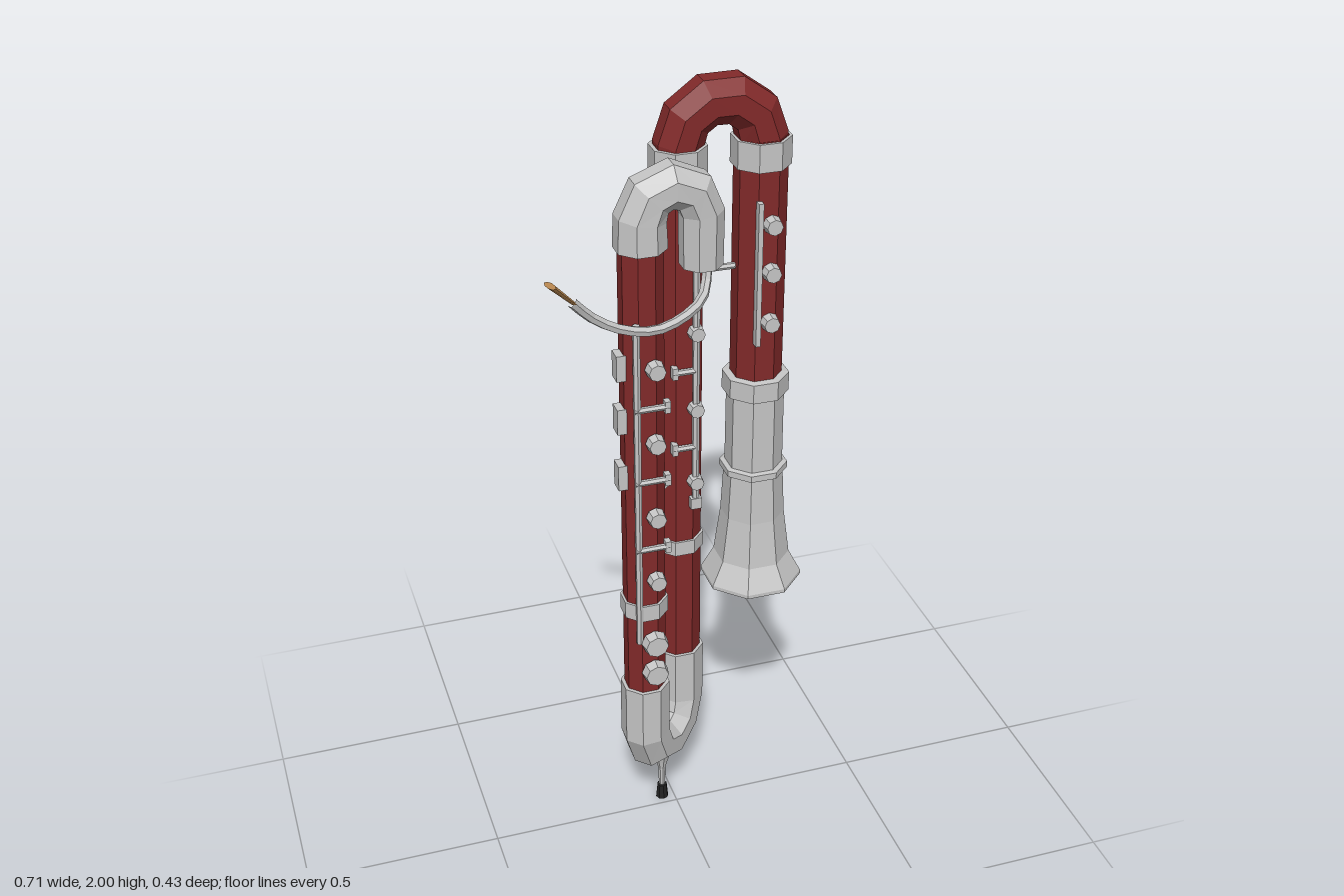
import * as THREE from 'three';

const flat = (color, name) => new THREE.MeshStandardMaterial({ color, name, flatShading: true });
const wood = flat(0x822a2a, 'red wood');
const silver = flat(0xc6c6c6, 'silver');
const cane = flat(0xb98750, 'cane');
const rubber = flat(0x222222, 'black rubber');

const V = (x, y, z) => new THREE.Vector3(x, y, z);
const K = 1 / Math.cos(Math.PI / 8); // flat half-width to corner radius

// Tube axes
const A = { x: -0.096, z: 0.033, r: 0.049 };
const B = { x: 0.034, z: -0.097, r: 0.054 };
const C = { x: 0.234, z: -0.097, r: 0.059 };

export function createModel() {
  const model = new THREE.Group();
  const add = (name, geometry, material, parent = model) => {
    const mesh = new THREE.Mesh(geometry, material);
    mesh.name = name;
    parent.add(mesh);
    return mesh;
  };

  // Upright octagonal tube with flats facing the axes
  const upright = (name, t, r, y0, y1, mat) => {
    const g = new THREE.CylinderGeometry(r * K, r * K, y1 - y0, 8).rotateY(Math.PI / 8);
    add(name, g, mat).position.set(t.x, (y0 + y1) / 2, t.z);
  };

  // Octagonal tube swept along a planar path, tapering from r0 to r1
  const sweep = (pts, side, r0, r1) => {
    const n = 8, pos = [], idx = [];
    pts.forEach((p, i) => {
      const T = pts[Math.min(i + 1, pts.length - 1)].clone().sub(pts[Math.max(i - 1, 0)]).normalize();
      const N = side.clone().cross(T).normalize();
      const r = THREE.MathUtils.lerp(r0, r1, i / (pts.length - 1)) * K;
      for (let j = 0; j < n; j++) {
        const a = ((j + 0.5) / n) * Math.PI * 2;
        const v = p.clone().addScaledVector(N, r * Math.cos(a)).addScaledVector(side, r * Math.sin(a));
        pos.push(v.x, v.y, v.z);
      }
    });
    const last = (pts.length - 1) * n;
    for (let i = 0; i < last; i += n) {
      for (let j = 0; j < n; j++) {
        const k = (j + 1) % n;
        idx.push(i + j, i + k, i + n + k, i + j, i + n + k, i + n + j);
      }
    }
    for (let j = 1; j < n - 1; j++) idx.push(0, j + 1, j, last, last + j, last + j + 1);
    const g = new THREE.BufferGeometry();
    g.setAttribute('position', new THREE.Float32BufferAttribute(pos, 3));
    g.setIndex(idx);
    g.computeVertexNormals();
    return g;
  };

  // U-bend between two uprights: straight legs plus a half circle (up = 1 or -1)
  const bend = (p, q, yc, up, segs, yP, yQ, r0, r1) => {
    const mid = V((p.x + q.x) / 2, yc, (p.z + q.z) / 2);
    const half = V((q.x - p.x) / 2, 0, (q.z - p.z) / 2);
    const R = half.length();
    const pts = [V(p.x, yP, p.z)];
    for (let i = 0; i <= segs; i++) {
      const a = (i / segs) * Math.PI;
      pts.push(mid.clone().addScaledVector(half, -Math.cos(a)).add(V(0, up * R * Math.sin(a), 0)));
    }
    pts.push(V(q.x, yQ, q.z));
    return sweep(pts, half.clone().normalize().cross(V(0, 1, 0)), r0, r1);
  };

  // Rod between two points
  const rod = (name, p, q, r, parent = model) => {
    const d = q.clone().sub(p);
    const m = add(name, new THREE.CylinderGeometry(r, r, d.length(), 6), silver, parent);
    m.position.copy(p).add(q).multiplyScalar(0.5);
    m.quaternion.setFromUnitVectors(V(0, 1, 0), d.normalize());
  };

  // Wooden tubes and their rings
  upright('wingTube', A, A.r, 0.44, 1.69, wood);
  upright('longTube', B, B.r, 0.44, 1.85, wood);
  upright('bellTube', C, C.r, 1.2, 1.85, wood);
  upright('wingRing', A, 0.055, 0.685, 0.73, silver);
  upright('longRing', B, 0.06, 0.775, 0.815, silver);
  upright('longTopRing', B, 0.063, 1.78, 1.848, silver);
  upright('bellTopRing', C, 0.066, 1.78, 1.848, silver);

  // Bends
  add('topBow', bend(B, C, 1.848, 1, 5, 1.8, 1.8, 0.054, 0.058), wood);
  add('bootBend', bend(A, B, 0.3, -1, 4, 0.46, 0.46, 0.058, 0.062), silver);
  add('crookBow', bend(A, { x: 0.047, z: 0.033 }, 1.74, 1, 4, 1.67, 1.61, 0.058, 0.047), silver);

  // Hollow flared bell
  const profile = [
    [0.05, 1.1], [0.055, 0.97], [0.082, 0.72], [0.11, 0.645], [0.12, 0.645], [0.12, 0.655],
    [0.09, 0.715], [0.075, 0.84], [0.069, 0.965], [0.079, 0.968], [0.079, 0.985], [0.067, 0.988],
    [0.066, 1.185], [0.076, 1.19], [0.076, 1.24], [0.055, 1.243],
  ].map(([r, y]) => new THREE.Vector2(r * K, y));
  add('bell', new THREE.LatheGeometry(profile, 8, Math.PI / 8), silver).position.set(C.x, 0, C.z);
  add('bellBore', new THREE.CircleGeometry(0.06, 8).rotateX(Math.PI / 2), wood).position.set(C.x, 1.09, C.z);

  // Curved crook and flat reed
  const crook = new THREE.CatmullRomCurve3([
    V(0.063, 1.64, 0.028), V(0.062, 1.58, 0.032), V(0.035, 1.542, 0.075), V(-0.03, 1.52, 0.115),
    V(-0.1, 1.513, 0.136), V(-0.18, 1.535, 0.145), V(-0.245, 1.578, 0.156), V(-0.292, 1.63, 0.174),
  ]);
  add('crook', new THREE.TubeGeometry(crook, 14, 0.012, 6), silver);
  const reed = new THREE.CylinderGeometry(1, 0.62, 0.085, 8);
  reed.scale(0.02, 1, 0.007);
  const up = V(-0.055, 0.06, 0.025).normalize();
  const wide = V(0.41, 0, 0.91).normalize();
  const thin = wide.clone().cross(up).normalize();
  reed.applyMatrix4(new THREE.Matrix4().makeBasis(wide, up, thin));
  add('reed', reed, cane).position.set(-0.317, 1.658, 0.186);

  // End pin
  const pin = [[0.005, 0.03], [0.009, 0.05], [0.01, 0.1], [0.016, 0.125], [0.028, 0.165]];
  const pinPos = [-0.032, 0, -0.031];
  add('endPin', new THREE.LatheGeometry(pin.map(([r, y]) => new THREE.Vector2(r, y)), 8), silver)
    .position.set(...pinPos);
  add('endPinTip', new THREE.CylinderGeometry(0.013, 0.017, 0.042, 8), rubber)
    .position.set(pinPos[0], 0.021, pinPos[2]);

  // Keywork: round pads on short posts
  const keys = new THREE.Group();
  keys.name = 'keywork';
  model.add(keys);
  const pad = (x, y, z, r) => {
    const cap = new THREE.CylinderGeometry(r * 0.85, r, 0.026, 8).rotateX(Math.PI / 2);
    add('keyPad', cap, silver, keys).position.set(x, y, z);
    rod('keyPost', V(x, y, z - 0.04), V(x, y, z), r * 0.55, keys);
  };
  const box = (name, w, h, d, x, y, z) =>
    add(name, new THREE.BoxGeometry(w, h, d), silver, keys).position.set(x, y, z);
  const arm = (x0, x1, y, z, knobX) => {
    rod('keyArm', V(x0, y, z), V(x1, y, z), 0.008, keys);
    box('keyArmEnd', 0.014, 0.03, 0.02, knobX, y, z - 0.003);
  };

  // Wing tube keys
  rod('wingRod', V(-0.123, 0.62, 0.084), V(-0.123, 1.505, 0.084), 0.009, keys);
  for (const y of [1.39, 1.195, 0.99, 0.807]) pad(-0.081, y, 0.1, 0.024);
  for (const y of [0.62, 0.53]) pad(-0.087, y, 0.103, 0.034);
  for (const y of [1.285, 1.088, 0.897]) arm(-0.13, -0.045, y, 0.085, -0.05);
  for (const y of [1.385, 1.245, 1.092]) box('sideKey', 0.024, 0.066, 0.038, -0.151, y, 0.039);

  // Long tube keys
  rod('longRod', V(0.06, 0.92, -0.035), V(0.06, 1.66, -0.035), 0.009, keys);
  for (const y of [1.65, 1.4, 1.195, 0.99]) pad(0.06, y, -0.032, 0.021);
  for (const y of [1.3, 1.09]) arm(0.0, 0.06, y, -0.035, 0.007);
  box('longRodEnd', 0.028, 0.03, 0.02, 0.06, 0.93, -0.035);

  // Bell tube keys
  box('bellRod', 0.012, 0.365, 0.02, 0.211, 1.527, -0.032);
  for (const y of [1.65, 1.53, 1.4]) pad(0.243, y, -0.026, 0.023);

  // Braces between tubes
  rod('upperBrace', V(B.x, 1.53, B.z), V(C.x, 1.53, C.z), 0.008);
  rod('lowerBrace', V(A.x, 0.985, A.z), V(B.x, 0.985, B.z), 0.008);

  return model;
}
